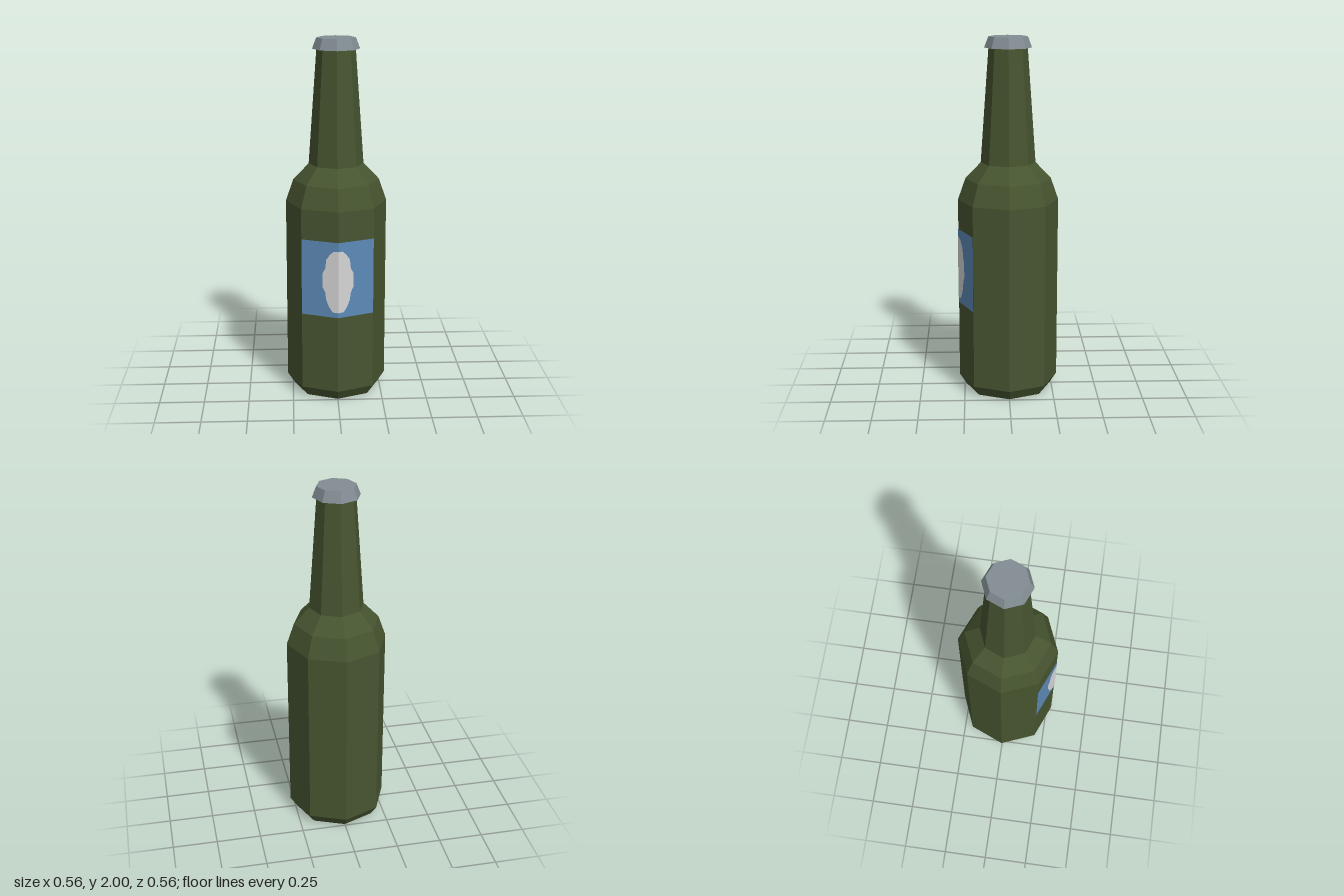
import * as THREE from 'three';

const SIDES = 8;
const BODY_R = 0.28;

const material = (name, color, options = {}) => {
  const m = new THREE.MeshStandardMaterial({ color, ...options });
  m.name = name;
  return m;
};

// Faceted turned part from a [radius, height] profile, listed bottom to top
function turned(name, profile, mat) {
  const points = profile.map(([r, y]) => new THREE.Vector2(r, y));
  const geometry = new THREE.LatheGeometry(points, SIDES).toNonIndexed();
  geometry.computeVertexNormals();
  const mesh = new THREE.Mesh(geometry, mat);
  mesh.name = name;
  return mesh;
}

// Thin decal folded over the front corner, from the outline of its +x half
function foldedDecal(name, outline, lift, mat) {
  const group = new THREE.Group();
  group.name = name;
  const slope = Math.tan(Math.PI / SIDES);
  for (const side of [1, -1]) {
    const shape = new THREE.Shape(outline.map(([x, y]) => new THREE.Vector2(side * x, y)));
    const geometry = new THREE.ShapeGeometry(shape);
    const pos = geometry.attributes.position;
    for (let i = 0; i < pos.count; i++) {
      pos.setZ(i, BODY_R + lift - Math.abs(pos.getX(i)) * slope);
    }
    geometry.computeVertexNormals();
    const mesh = new THREE.Mesh(geometry, mat);
    mesh.name = name + (side > 0 ? 'Left' : 'Right');
    group.add(mesh);
  }
  return group;
}

export function createModel() {
  const glass = material('green glass', 0x475530, { flatShading: true });
  const metal = material('cap metal', 0x828d93, { flatShading: true });
  const blue = material('label blue', 0x5c8ab8);
  const white = material('label white', 0xd6d6d6);

  const bottle = new THREE.Group();
  bottle.name = 'bottle';

  // Glass: chamfered base, straight body, stepped shoulder, tapering neck
  bottle.add(turned('glassBody', [
    [0, 0], [0.24, 0], [BODY_R, 0.06], [BODY_R, 1.1],
    [0.238, 1.22], [0.152, 1.31], [0.106, 1.95], [0, 1.95],
  ], glass));

  // Flared cap with a closed underside
  bottle.add(turned('cap', [[0, 1.94], [0.13, 1.94], [0.107, 2], [0, 2]], metal));

  // Label wrapping the two front faces, with a pale oval in the middle
  const labelX = BODY_R * Math.SQRT1_2;
  bottle.add(foldedDecal('label',
    [[0, 0.5], [labelX, 0.5], [labelX, 0.93], [0, 0.93]], 0.001, blue));
  bottle.add(foldedDecal('labelOval', [
    [0, 0.53], [0.03, 0.53], [0.05, 0.56], [0.065, 0.6], [0.07, 0.64], [0.084, 0.67],
    [0.084, 0.75], [0.07, 0.78], [0.064, 0.83], [0.045, 0.86], [0.025, 0.88], [0, 0.88],
  ], 0.003, white));

  return bottle;
}
